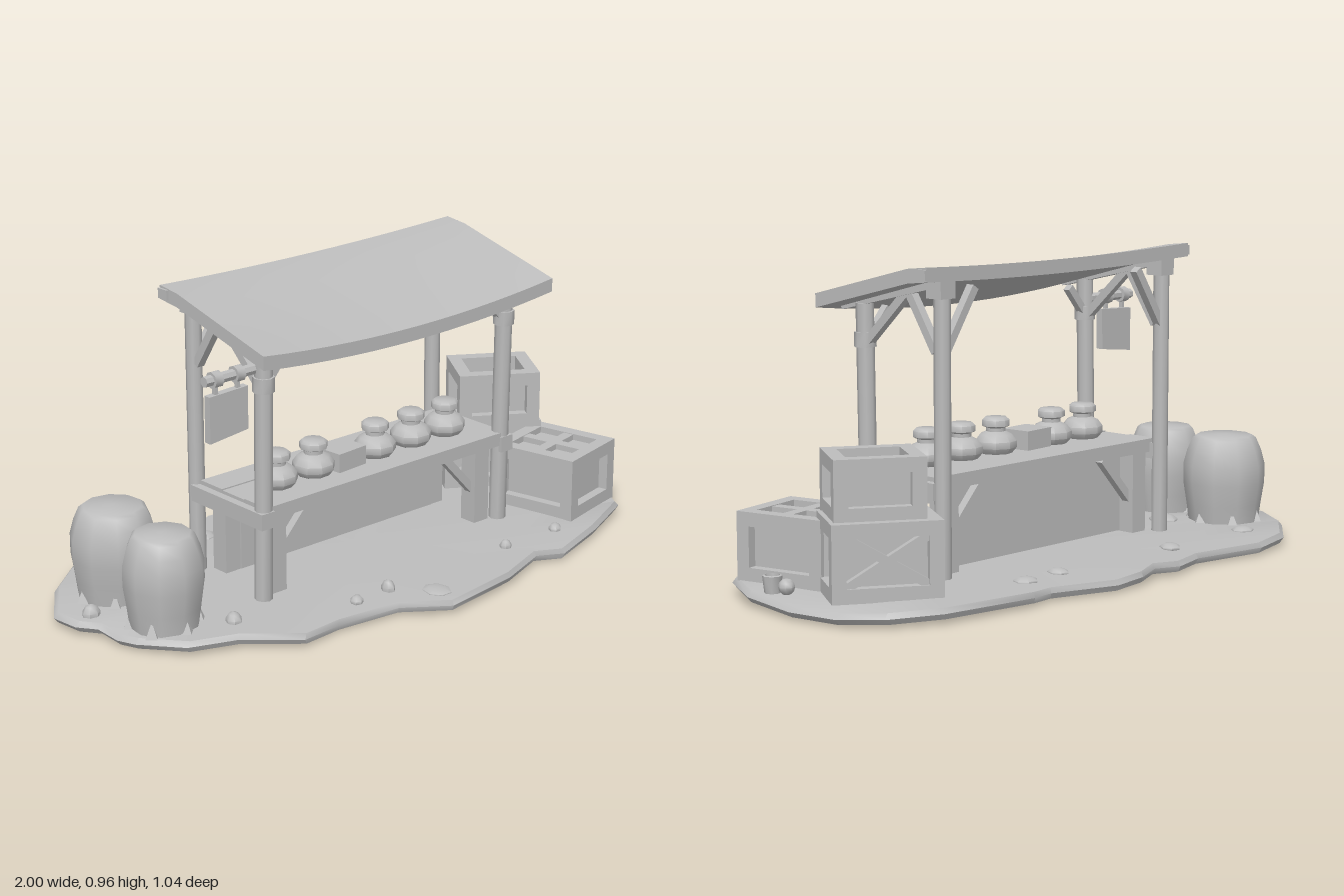
import * as THREE from 'three';
import { toCreasedNormals } from 'three/addons/utils/BufferGeometryUtils.js';

const stone = new THREE.MeshStandardMaterial({ color: 0xbcbcbc });
stone.name = 'plain grey';

function add(parent, name, geo, x = 0, y = 0, z = 0, ry = 0) {
  const m = new THREE.Mesh(toCreasedNormals(geo, 0.85), stone);
  m.name = name;
  m.position.set(x, y, z);
  m.rotation.y = ry;
  parent.add(m);
  return m;
}
const box = (parent, name, w, h, d, x, y, z, ry = 0) =>
  add(parent, name, new THREE.BoxGeometry(w, h, d), x, y, z, ry);

// Timber between two points, square or round
function beam(parent, name, a, b, w, sides = 0) {
  const p = new THREE.Vector3(...a), q = new THREE.Vector3(...b);
  const len = p.distanceTo(q);
  const geo = sides
    ? new THREE.CylinderGeometry(w / 2, w / 2, len, sides)
    : new THREE.BoxGeometry(w, len, w);
  const m = add(parent, name, geo);
  m.position.copy(p).add(q).multiplyScalar(0.5);
  m.quaternion.setFromUnitVectors(new THREE.Vector3(0, 1, 0), q.sub(p).normalize());
  return m;
}
const lathe = (pts, sides) => new THREE.LatheGeometry(pts.map(p => new THREE.Vector2(...p)), sides);

// Ground slab: one outline repeated at several scales and heights
function ground() {
  const o = [[-1, -.2], [-.89, -.35], [-.74, -.47], [-.59, -.5], [-.33, -.455], [-.19, -.5], [-.1, -.475],
    [0, -.515], [.12, -.522], [.33, -.45], [.42, -.47], [.74, -.43], [.89, -.35], [.97, -.24], [1, -.08],
    [.97, .13], [.88, .3], [.68, .385], [.47, .45], [.385, .41], [.2, .48], [-.075, .518], [-.2, .415],
    [-.41, .385], [-.55, .4], [-.7, .28], [-.84, .225], [-.93, .1], [-.95, .04], [-.95, -.05], [-.995, -.1]];
  const rings = [[0, .003], [.6, .008], [.985, .013], [1, .03], [.985, .046], [.7, .052], [0, .054]];
  const pos = [], idx = [], n = o.length;
  rings.forEach(([s, y]) => o.forEach(([x, z], i) =>
    pos.push(x * s, y + (s > .9 ? .004 * Math.sin(i * 1.3) : 0), z * s)));
  for (let r = 0; r < rings.length - 1; r++) for (let i = 0; i < n; i++) {
    const a = r * n + i, b = r * n + (i + 1) % n;
    idx.push(a, a + n, b + n);
    if (r > 0) idx.push(a, b + n, b);
  }
  const g = new THREE.BufferGeometry();
  g.setAttribute('position', new THREE.Float32BufferAttribute(pos, 3));
  g.setIndex(outward(pos, idx));
  g.computeVertexNormals();
  return g;
}
// Make the winding outward by checking the sign of the enclosed volume
function outward(pos, idx) {
  const v = i => new THREE.Vector3().fromArray(pos, i * 3);
  let vol = 0;
  for (let i = 0; i < idx.length; i += 3) vol += v(idx[i]).dot(v(idx[i + 1]).cross(v(idx[i + 2])));
  return vol < 0 ? idx.slice().reverse() : idx;
}

// Sagging roof slab, sloping down to the front with a short flat ridge at the back
function roof() {
  const g = new THREE.BoxGeometry(1.155, 1, 1, 14, 1, 6);
  const p = g.attributes.position;
  for (let i = 0; i < p.count; i++) {
    const x = p.getX(i), t = p.getZ(i) + .5;
    const z = -.195 + t * .465;
    const top = z < -.15 ? .96 : .96 - (z + .15) * .25;
    const sag = (.012 + .022 * t) * (1 - (x / .575) ** 2);
    p.setXYZ(i, x - .007, top - sag - (p.getY(i) < 0 ? .042 : 0), z);
  }
  g.computeVertexNormals();
  return g;
}

// Framed crate: recessed sides, an open top or a lid with crossed planks
function crate(parent, name, w, h, d, x, y, z, ry, open, crossed) {
  const g = new THREE.Group();
  g.name = name;
  g.position.set(x, y, z);
  g.rotation.y = ry;
  parent.add(g);
  const t = .042, s = .03, coreH = h - (open ? .07 : .02);
  box(g, 'crateCore', w - 2 * s, coreH, d - 2 * s, 0, coreH / 2, 0);
  for (const sx of [-1, 1]) {
    for (const sz of [-1, 1]) box(g, 'cratePost', t, h, t, sx * (w - t) / 2, h / 2, sz * (d - t) / 2);
    for (const yy of [t / 2, h - t / 2]) {
      box(g, 'crateRail', w - 2 * t, t, t, 0, yy, sx * (d - t) / 2);
      box(g, 'crateRail', t, t, d - 2 * t, sx * (w - t) / 2, yy, 0);
    }
    if (open) {
      box(g, 'crateWall', .012, h - .01, d - 2 * t, sx * (w / 2 - .036), h / 2, 0);
      box(g, 'crateWall', w - 2 * t, h - .01, .012, 0, h / 2, sx * (d / 2 - .036));
    }
    if (crossed) for (const k of [-1, 1])
      beam(g, 'crateCross', [k * (w / 2 - t), t, sx * (d / 2 - .02)], [-k * (w / 2 - t), h - t, sx * (d / 2 - .02)], .026);
  }
  if (!open) {
    box(g, 'lidPlank', w * .92, .02, .035, 0, h - .012, 0);
    box(g, 'lidPlank', .035, .02, d * .92, 0, h - .012, 0);
  }
}

export function createModel() {
  const model = new THREE.Group();
  model.name = 'marketStall';
  add(model, 'ground', ground());
  add(model, 'roof', roof());

  // Posts, rafters and braces, mirrored left and right
  for (const s of [-1, 1]) {
    const x = s * .485;
    beam(model, 'frontPost', [x, .03, .137], [x, .83, .15], .054, 8);
    beam(model, 'frontPostCollar', [x, .70, .148], [x, .745, .149], .066, 8);
    beam(model, 'backPost', [x, .03, -.17], [x, .92, -.17], .05, 8);
    beam(model, 'backPostHead', [x, .865, -.165], [x, .925, -.165], .06);
    beam(model, 'rafter', [x, .822, .235], [x, .915, -.17], .034);
    beam(model, 'sideBrace', [x, .72, .13], [x, .88, -.04], .026);
    beam(model, 'sideBrace', [x, .71, -.15], [x, .88, -.04], .026);
    beam(model, 'backBrace', [x, .70, -.17], [s * .36, .89, -.17], .026);
    beam(model, 'frontBrace', [x, .71, .145], [s * .40, .81, .145], .024);
    box(model, 'roofEndLip', .02, .03, .04, s * .575 - .007, .938, -.175);

    // Table supports
    box(model, 'tableRail', .05, .05, .33, s * .49, .308, .005);
    for (const z of [.1, -.11]) {
      box(model, 'tableLeg', .06, .28, .06, s * .42, .17, z);
      beam(model, 'tableBrace', [s * .40, .16, z], [s * .27, .3, z], .026);
    }
    box(model, 'legTie', .035, .035, .2, s * .42, .27, 0);
  }

  // Table top of planks, with a cloth panel below
  for (let i = 0; i < 3; i++)
    box(model, 'tablePlank', .98, .042, .101, 0, .325 - (i % 2) * .003, .112 - i * .103);
  box(model, 'tableApron', .9, .03, .03, 0, .295, .1);
  box(model, 'tablePanel', .79, .24, .012, 0, .175, -.08);

  // Goods on the table
  const jar = [[0, 0], [.05, 0], [.065, .018], [.065, .038], [.05, .058], [.03, .067],
    [.03, .078], [.043, .084], [.043, .102], [.034, .11], [0, .11]];
  for (const x of [-.346, -.2, .05, .2, .345]) add(model, 'jar', lathe(jar, 9), x, .345, .035, x * 5);
  box(model, 'smallBox', .115, .06, .1, -.09, .375, .035, .08);

  // Hanging sign
  beam(model, 'signArm', [-.69, .77, .135], [-.49, .77, .135], .032, 7);
  for (const x of [-.65, -.57]) {
    beam(model, 'signRing', [x - .014, .77, .135], [x + .014, .77, .135], .05, 8);
    box(model, 'signStrap', .012, .05, .012, x, .74, .135);
  }
  const board = new THREE.Shape([[-.68, .725], [-.68, .585], [-.542, .6], [-.54, .73]].map(p => new THREE.Vector2(...p)));
  add(model, 'signBoard', new THREE.ExtrudeGeometry(board, { depth: .024, bevelEnabled: false }), 0, 0, .123);

  // Barrels
  const barrel = [[0, 0], [.112, 0], [.12, .06], [.131, .13], [.131, .19], [.119, .235], [.102, .274], [.09, .283], [0, .287]];
  for (const [x, z, s, r] of [[-.78, -.195, 1, .1], [-.8, .07, .92, .5]]) {
    add(model, 'barrel', lathe(barrel, 10), x, .045, z, r).scale.set(s, 1, s);
    for (let i = 0; i < 6; i++) {
      const a = i * 1.05 + r;
      add(model, 'grassTuft', new THREE.ConeGeometry(.025, .05, 4), x + Math.cos(a) * .108 * s, .068, z + Math.sin(a) * .108 * s);
    }
  }

  // Crates
  crate(model, 'lowerCrate', .32, .225, .225, .725, .047, -.16, -.56, true, true);
  crate(model, 'upperCrate', .265, .18, .225, .72, .268, -.127, -.57, true, false);
  crate(model, 'frontCrate', .265, .205, .295, .73, .047, .148, .22, false, false);

  // Cups beside the crates
  add(model, 'cup', lathe([[0, 0], [.023, 0], [.029, .05], [.023, .052], [.02, .012], [0, .012]], 8), .94, .052, .055);
  add(model, 'roundCup', new THREE.SphereGeometry(.024, 8, 6), .94, .078, -.005);

  // Stones and low mounds on the ground: x, z, radius, height
  const stones = [[-.93, -.11, .03, .035], [-.65, .2, .03, .03], [-.62, -.075, .05, .025], [-.67, -.36, .04, .015],
    [-.31, -.36, .04, .015], [.19, -.35, .035, .015], [.34, -.36, .04, .015], [-.29, .33, .025, .018],
    [-.165, .33, .024, .033], [.33, .33, .02, .025], [.55, .33, .025, .02], [-.06, .43, .05, .01]];
  stones.forEach(([x, z, r, h], i) =>
    add(model, 'stone', new THREE.SphereGeometry(1, 7, 5), x, .05, z, i).scale.set(r, h, r * .85));
  return model;
}
